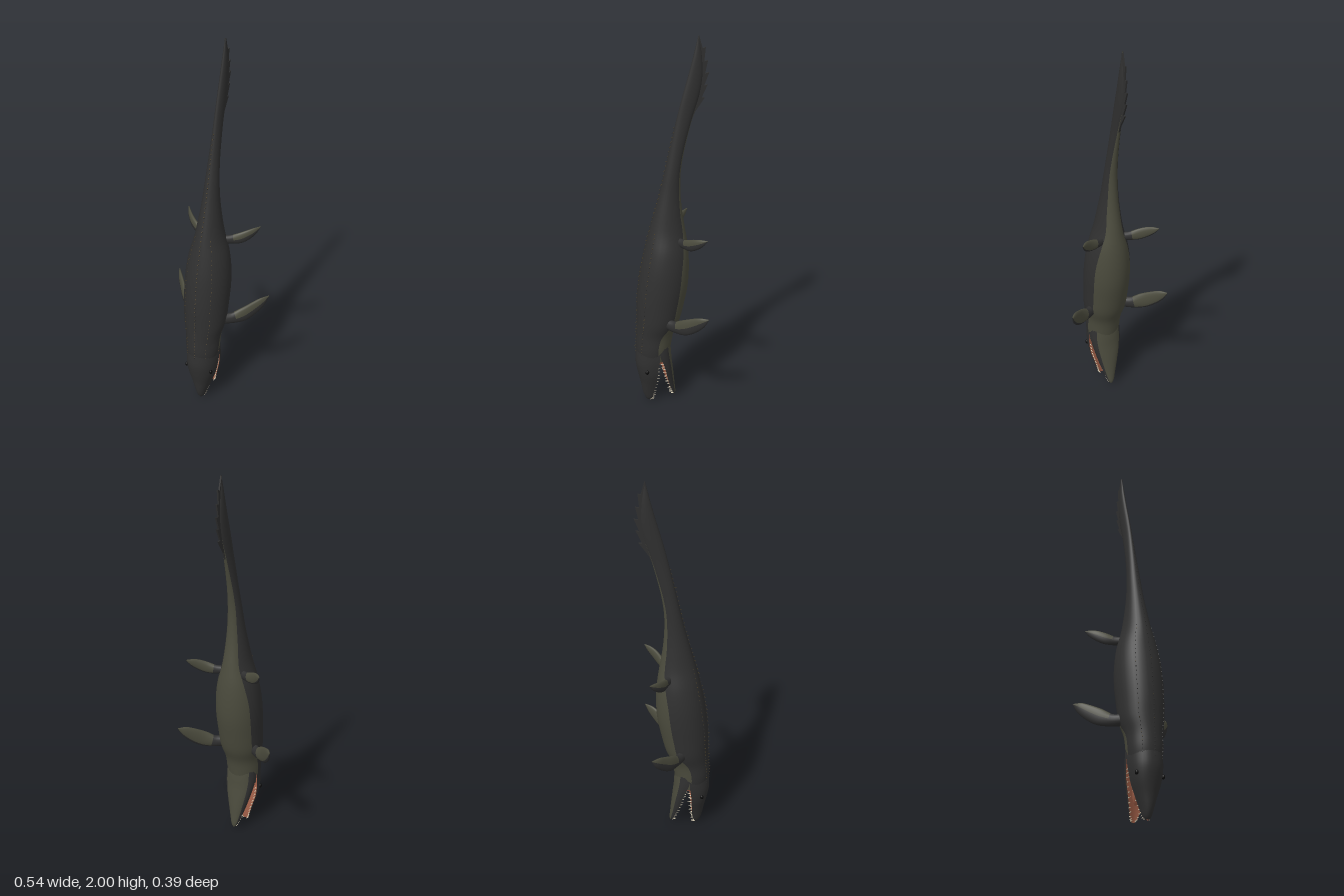
import * as THREE from 'three';

const mat = (name, color, side = THREE.FrontSide) => {
  const m = new THREE.MeshStandardMaterial({ color, side });
  m.name = name;
  return m;
};
const hide = mat('dark hide', 0x303030, THREE.DoubleSide);
const belly = mat('olive belly', 0x4b4b3d, THREE.DoubleSide);
const flesh = mat('mouth flesh', 0xa8644c, THREE.DoubleSide);
const ivory = mat('tooth ivory', 0xcfc5ac);
const brown = mat('scute brown', 0x57451f);
const black = mat('eye black', 0x0c0c0c);

const V = (x, y, z) => new THREE.Vector3(x, y, z);

// Skin over rings of points; isSecond picks the second material per quad
function loft(rings, closed, isSecond = () => false, flip = false) {
  const n = rings[0].length, sets = [[], []];
  for (let i = 0; i < rings.length - 1; i++) {
    for (let j = 0; j < (closed ? n : n - 1); j++) {
      const k = (j + 1) % n;
      const a = i * n + j, b = i * n + k, c = a + n, d = b + n;
      sets[isSecond(i, j) ? 1 : 0].push(...(flip ? [a, b, c, b, d, c] : [a, c, b, b, c, d]));
    }
  }
  const g = new THREE.BufferGeometry().setFromPoints(rings.flat());
  g.setIndex([...sets[0], ...sets[1]]);
  g.addGroup(0, sets[0].length, 0);
  g.addGroup(sets[0].length, sets[1].length, 1);
  g.computeVertexNormals();
  return g;
}

// Smooth sampler over rows of five numbers
function sampler(rows) {
  const p = new THREE.CatmullRomCurve3(rows.map(r => V(r[0], r[1], r[2])), false, 'catmullrom');
  const q = new THREE.CatmullRomCurve3(rows.map(r => V(r[3], r[4] ?? 0, 0)), false, 'catmullrom');
  return u => {
    const a = p.getPoint(u), b = q.getPoint(u);
    return { y: a.x, zF: a.y, zB: a.z, w: Math.max(b.x, 0.001), belt: THREE.MathUtils.clamp(b.y, -0.99, 0) };
  };
}
const steps = (n, f) => Array.from({ length: n + 1 }, (_, i) => f(i / n, i));

// Body rows: height, back z, belly z, half width, colour line (sine of angle)
const bodyAt = sampler([
  [0.27, 0.180, 0.010, 0.080, -0.20], [0.34, 0.186, 0.000, 0.089, -0.08],
  [0.42, 0.183, -0.015, 0.093, -0.15], [0.50, 0.180, -0.048, 0.110, -0.48],
  [0.60, 0.178, -0.072, 0.116, -0.52], [0.70, 0.170, -0.090, 0.119, -0.52],
  [0.80, 0.156, -0.095, 0.115, -0.55], [0.90, 0.135, -0.090, 0.100, -0.65],
  [1.00, 0.111, -0.076, 0.072, -0.75], [1.10, 0.084, -0.060, 0.055, -0.75],
  [1.20, 0.057, -0.051, 0.042, -0.75], [1.30, 0.034, -0.051, 0.034, -0.75],
  [1.40, 0.012, -0.064, 0.027, -0.78], [1.50, -0.010, -0.086, 0.022, -0.85],
  [1.60, -0.033, -0.112, 0.018, -0.92], [1.70, -0.058, -0.142, 0.017, -0.97],
  [1.80, -0.086, -0.158, 0.015, -0.98], [1.90, -0.112, -0.154, 0.011, -0.98],
  [2.00, -0.136, -0.139, 0.002, -0.98]]);
const bodyPoint = (s, a) => V(s.w * Math.cos(a), s.y, (s.zF + s.zB) / 2 + (s.zF - s.zB) / 2 * Math.sin(a));

function makeBody() {
  const NU = 22, NL = 12;
  const rings = steps(72, u => {
    const s = bodyAt(u), b = Math.asin(-s.belt), ring = [];
    for (let j = 0; j < NU; j++) ring.push(bodyPoint(s, -b + (Math.PI + 2 * b) * j / NU));
    for (let j = 0; j < NL; j++) ring.push(bodyPoint(s, Math.PI + b + (Math.PI - 2 * b) * j / NL));
    return ring;
  });
  return loft(rings, true, (i, j) => j >= NU);
}

// Jaw rows: height, outer z, mouth z, half width
const skullAt = sampler([
  [0.003, 0.126, 0.112, 0.008], [0.02, 0.138, 0.104, 0.021], [0.06, 0.152, 0.096, 0.034],
  [0.12, 0.163, 0.091, 0.054], [0.18, 0.177, 0.087, 0.074], [0.24, 0.188, 0.083, 0.084],
  [0.29, 0.188, 0.076, 0.087], [0.35, 0.182, 0.080, 0.084]]);
const jawAt = sampler([
  [0.022, -0.024, -0.014, 0.008], [0.04, -0.027, -0.006, 0.020], [0.09, -0.022, 0.010, 0.036],
  [0.15, -0.016, 0.027, 0.054], [0.21, -0.009, 0.041, 0.070], [0.26, -0.003, 0.056, 0.080],
  [0.31, 0.000, 0.074, 0.085], [0.37, 0.006, 0.080, 0.083]]);

function makeJaw(name, at, up) {
  const group = new THREE.Group();
  group.name = name;
  const N = 18, from = up > 0 ? 0 : Math.PI;
  const shell = steps(20, u => {
    const s = at(u);
    return steps(N, v => {
      const a = from + Math.PI * v, h = Math.abs(Math.sin(a)) ** 0.85;
      return V(s.w * Math.cos(a), s.y, s.zB + (s.zF - s.zB) * h);
    });
  });
  add(group, name + 'Shell', loft(shell, false, (i, j) =>
    up < 0 && Math.abs(Math.cos(Math.PI * (j + 0.5) / N)) < 0.8), [hide, belly]);
  // Mouth lining, a little hollow
  const lining = steps(20, u => {
    const s = at(u);
    return steps(6, v => V(s.w * (up > 0 ? 1 - 2 * v : 2 * v - 1), s.y,
      s.zB + (s.zF - s.zB) * 0.2 * Math.sin(Math.PI * v)));
  });
  add(group, name + 'Lining', loft(lining, false, undefined, true), [flesh, flesh]);
  // Teeth
  const tooth = new THREE.ConeGeometry(0.0038, 0.02, 6).rotateX(-up * Math.PI / 2);
  for (const side of [-1, 1]) {
    for (let i = 0; i < 13; i++) {
      const s = at(0.06 + i * 0.053);
      add(group, 'tooth', tooth, ivory).position.set(side * s.w * 0.92, s.y, s.zB - up * 0.006);
    }
  }
  return group;
}

function add(parent, name, geometry, material) {
  const m = new THREE.Mesh(geometry, material);
  m.name = name;
  parent.add(m);
  return m;
}

// Flipper rows: x, y, z, half chord, half thickness
function makeFlipper(rows, side) {
  const path = new THREE.CatmullRomCurve3(rows.map(r => V(r[0], r[1], r[2])));
  const size = new THREE.CatmullRomCurve3(rows.map(r => V(r[3], r[4], 0)), false, 'catmullrom');
  const N = 16;
  const rings = steps(20, u => {
    const p = path.getPoint(u), t = path.getTangent(u), q = size.getPoint(u);
    const chord = V(0, 1, 0).addScaledVector(t, -t.y).normalize();
    const out = t.clone().cross(chord);
    return steps(N - 1, (_, j) => {
      const a = 2 * Math.PI * j / N;
      const v = p.clone().addScaledVector(chord, q.x * Math.cos(a)).addScaledVector(out, q.y * Math.sin(a));
      v.x *= side;
      return v;
    });
  });
  return loft(rings, true, (i, j) => i > 4 && (j < 4 || j > 9), side > 0);
}

// Tail fin with a ragged trailing edge, drawn in (z, y)
function makeFin() {
  const s = new THREE.Shape();
  s.moveTo(-0.09, 1.54);
  s.lineTo(-0.122, 1.62);
  for (const [tz, ty, nz, ny] of [[-0.170, 1.69, -0.154, 1.69], [-0.184, 1.755, -0.166, 1.75],
    [-0.191, 1.815, -0.170, 1.81], [-0.184, 1.875, -0.165, 1.87], [-0.172, 1.94, -0.157, 1.935]]) {
    s.lineTo(tz, ty);
    s.lineTo(nz, ny);
  }
  s.lineTo(-0.138, 2.0);
  s.lineTo(-0.12, 1.9);
  const g = new THREE.ExtrudeGeometry(s, { depth: 0.008, bevelEnabled: false });
  return g.translate(0, 0, -0.004).rotateY(-Math.PI / 2);
}

export function createModel() {
  const model = new THREE.Group();
  model.name = 'marineReptile';

  add(model, 'body', makeBody(), [hide, belly]);
  add(model, 'tailFin', makeFin(), hide);
  model.add(makeJaw('upperJaw', skullAt, 1), makeJaw('lowerJaw', jawAt, -1));

  // Throat and tongue
  const ball = new THREE.SphereGeometry(1, 20, 14);
  const throat = add(model, 'throat', ball, flesh);
  throat.position.set(0, 0.275, 0.075);
  throat.scale.set(0.074, 0.045, 0.035);
  const tongue = add(model, 'tongue', ball, flesh);
  tongue.position.set(0, 0.18, 0.032);
  tongue.rotation.x = 0.26;
  tongue.scale.set(0.026, 0.085, 0.01);

  for (const side of [-1, 1]) {
    const label = side > 0 ? 'left' : 'right';
    const eye = add(model, label + 'Eye', ball, black);
    eye.position.set(side * 0.073, 0.215, 0.142);
    eye.scale.set(0.008, 0.012, 0.01);
    add(model, label + 'FrontFlipper', makeFlipper([
      [0.085, 0.505, 0.035, 0.030, 0.024], [0.13, 0.505, 0.003, 0.032, 0.020],
      [0.175, 0.522, -0.030, 0.042, 0.016], [0.215, 0.552, -0.070, 0.038, 0.013],
      [0.248, 0.583, -0.106, 0.026, 0.010], [0.270, 0.606, -0.136, 0.002, 0.002]], side), [hide, belly]);
    add(model, label + 'RearFlipper', makeFlipper([
      [0.055, 0.955, -0.030, 0.022, 0.018], [0.090, 0.956, -0.048, 0.024, 0.015],
      [0.130, 0.965, -0.066, 0.030, 0.013], [0.165, 0.983, -0.090, 0.027, 0.011],
      [0.190, 1.000, -0.115, 0.018, 0.008], [0.209, 1.016, -0.139, 0.002, 0.002]], side), [hide, belly]);
  }

  // Three rows of scutes, brown on the face toward the tail
  const scute = new THREE.ConeGeometry(0.008, 0.016, 4, 1, true, Math.PI / 4)
    .rotateX(Math.PI / 2).scale(0.6, 1.5, 1).toNonIndexed();
  scute.computeVertexNormals();
  scute.clearGroups();
  [0, 1, 0, 0].forEach((m, i) => scute.addGroup(i * 3, 3, m));
  const scutes = new THREE.Group();
  scutes.name = 'scutes';
  model.add(scutes);
  for (const [angle, count, end] of [[90, 54, 0.76], [52, 32, 0.46], [128, 32, 0.46]]) {
    for (let i = 0; i < count; i++) {
      const s = bodyAt(0.02 + (end - 0.02) * i / count), a = angle * Math.PI / 180;
      const m = add(scutes, 'scute', scute, [hide, brown]);
      m.position.copy(bodyPoint(s, a));
      m.rotation.y = Math.PI / 2 - a;
      if (angle !== 90) m.scale.setScalar(0.75);
    }
  }
  return model;
}
